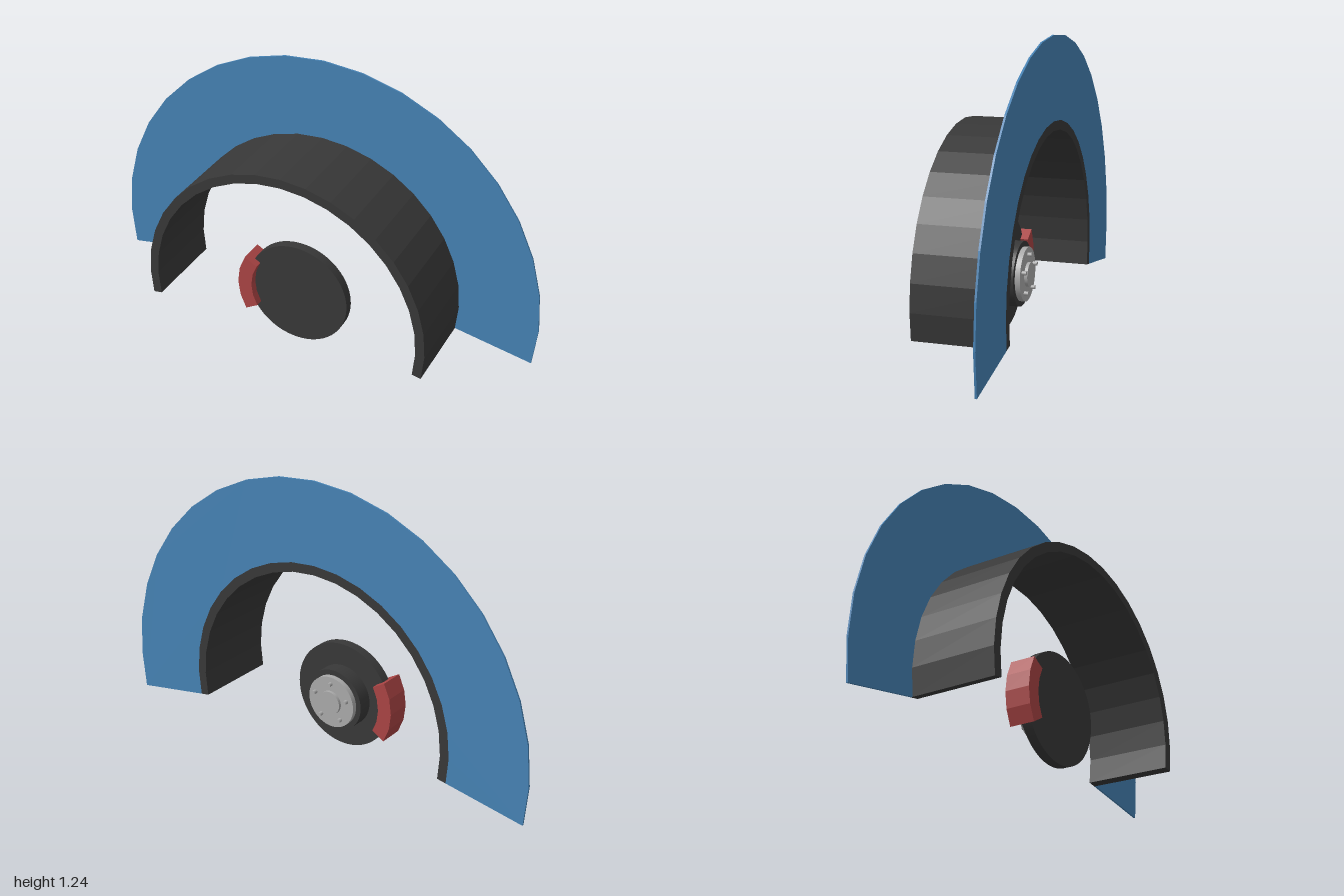
import * as THREE from 'three';

const paint = (name, color) => {
  const m = new THREE.MeshStandardMaterial({ color });
  m.name = name;
  return m;
};

export function createModel() {
  const blue = paint('panel blue', 0x4682b4);
  const dark = paint('dark grey', 0x383838);
  const red = paint('caliper red', 0xaa4444);
  const silver = paint('hub silver', 0xaaaaaa);

  const model = new THREE.Group();
  model.name = 'wheelArchAssembly';

  // Everything is concentric with the axle
  const axle = new THREE.Group();
  axle.name = 'axleCentre';
  axle.position.y = 0.235;
  model.add(axle);

  const add = (name, geometry, material, parent = axle) => {
    const mesh = new THREE.Mesh(geometry, material);
    mesh.name = name;
    parent.add(mesh);
    return mesh;
  };

  // Faceted ring sector, angles in degrees, between two depths
  const sector = (name, inner, outer, from, to, steps, zBack, zFront, material) => {
    const points = [];
    const arc = (r, i) => {
      const a = THREE.MathUtils.degToRad(from + ((to - from) * i) / steps);
      points.push(new THREE.Vector2(r * Math.cos(a), r * Math.sin(a)));
    };
    for (let i = 0; i <= steps; i++) arc(outer, i);
    for (let i = steps; i >= 0; i--) arc(inner, i);
    const geometry = new THREE.ExtrudeGeometry(new THREE.Shape(points), {
      depth: zFront - zBack, bevelEnabled: false,
    });
    geometry.translate(0, 0, zBack);
    return add(name, geometry, material);
  };

  // Round plate lying across the axle
  const plate = (name, r, zBack, zFront, material, sides = 48, parent = axle) => {
    const geometry = new THREE.CylinderGeometry(r, r, zFront - zBack, sides);
    geometry.rotateX(Math.PI / 2);
    geometry.translate(0, 0, (zBack + zFront) / 2);
    return add(name, geometry, material, parent);
  };

  // Fender panel and arch liner
  sector('fenderPanel', 0.65, 1, -10, 190, 20, -0.19, -0.182, blue);
  sector('archLiner', 0.61, 0.65, -10, 190, 20, -0.19, 0.19, dark);

  // Brake disc with its caliper
  plate('brakeDisc', 0.235, 0.004, 0.046, dark, 64);
  sector('brakeCaliper', 0.205, 0.27, 150, 210, 4, -0.03, 0.08, red);

  // Stepped hub behind the disc
  plate('hubBell', 0.138, -0.06, 0.004, dark);
  plate('hubFlange', 0.115, -0.082, -0.06, silver);
  plate('hubCap', 0.052, -0.095, -0.082, silver, 32);

  // Wheel studs
  const studs = new THREE.Group();
  studs.name = 'wheelStuds';
  axle.add(studs);
  for (let i = 0; i < 5; i++) {
    const a = Math.PI / 2 + (i * Math.PI * 2) / 5;
    const stud = plate('stud', 0.009, -0.1, -0.082, silver, 12, studs);
    stud.position.set(0.085 * Math.cos(a), 0.085 * Math.sin(a), 0);
  }

  return model;
}
